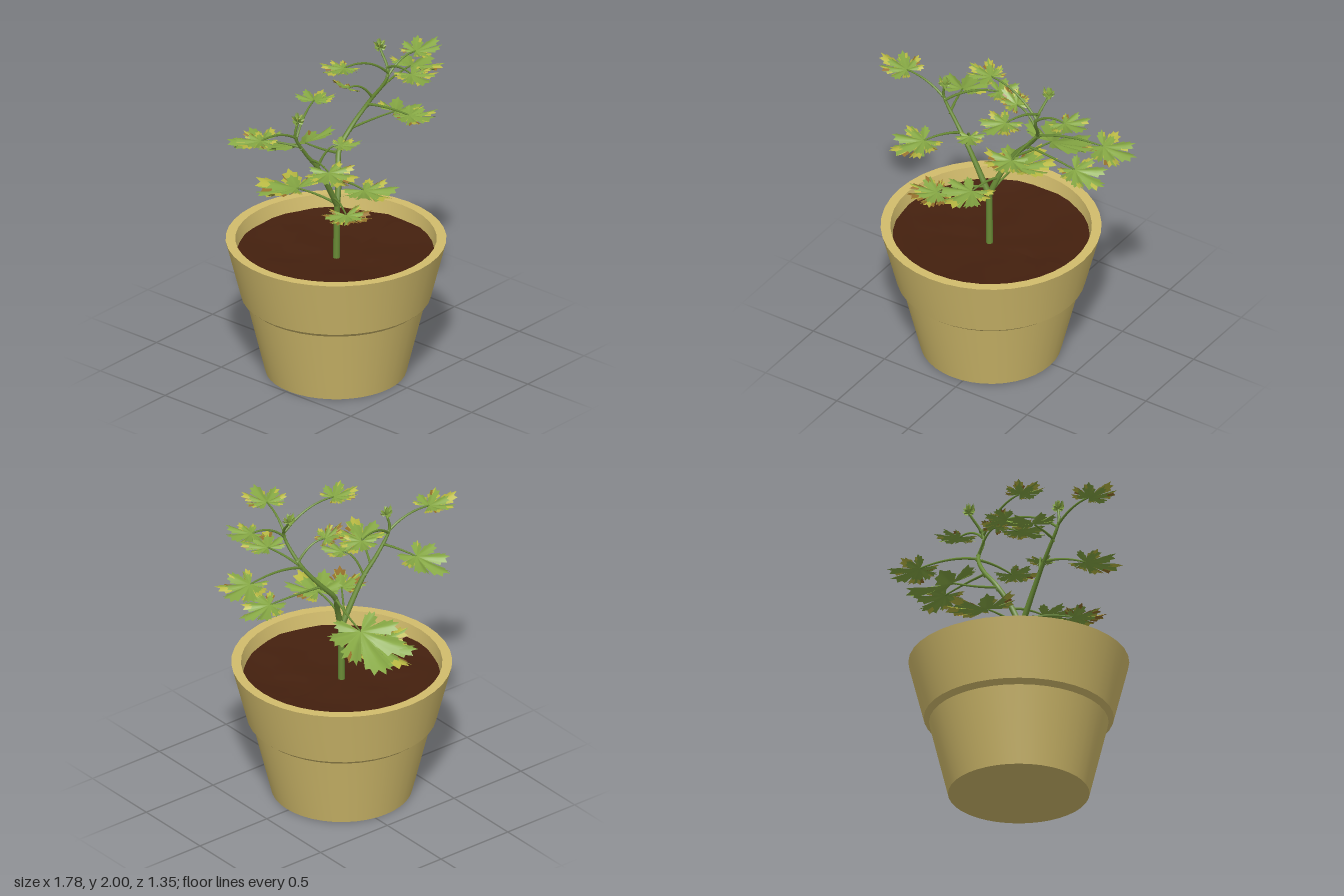
import * as THREE from 'three';
import { toCreasedNormals } from 'three/addons/utils/BufferGeometryUtils.js';

const CX = -0.075, CZ = 0.0175; // pot axis

function material(name, color, side = THREE.FrontSide) {
  const m = new THREE.MeshStandardMaterial({ color, side });
  m.name = name;
  return m;
}

const clay = material('clay', 0xd2bc6c);
const soilMat = material('soil', 0x44200e);
const stemMat = material('stem', 0x6a8c36);
const leafMats = [material('leafGreen', 0x86a844, THREE.DoubleSide),
  material('leafYellow', 0xb8b842, THREE.DoubleSide), material('leafBrown', 0x95702c, THREE.DoubleSide)];

function seeded(seed) {
  let s = seed * 7919 + 17;
  return () => (s = (s * 16807) % 2147483647) / 2147483647;
}

function add(parent, name, object, mat) {
  const child = mat ? new THREE.Mesh(object, mat) : object;
  child.name = name;
  parent.add(child);
  return child;
}

// Tube whose radius shrinks from r0 to r1 along the curve
function taperedTube(curve, r0, r1, segs, sides) {
  const g = new THREE.TubeGeometry(curve, segs, r0, sides);
  const pos = g.attributes.position, v = new THREE.Vector3();
  for (let i = 0; i < pos.count; i++) {
    const t = Math.floor(i / (sides + 1)) / segs;
    const c = curve.getPointAt(t);
    v.fromBufferAttribute(pos, i).sub(c).multiplyScalar(1 + (r1 / r0 - 1) * t).add(c);
    pos.setXYZ(i, v.x, v.y, v.z);
  }
  return g;
}

// One lobe as [angle fraction, radius fraction]: a deep cleft, then teeth, mirrored about the tip
const HALF_LOBE = [[0.86, 0.64], [0.9, 0.76], [0.6, 0.76], [0.52, 0.93], [0.22, 0.85]];
const LOBE = [[-1, 0.42], ...HALF_LOBE.map(([a, r]) => [-a, r]), [0, 1], ...HALF_LOBE.slice().reverse()];

// Palmate toothed leaf, growing along +z from its base, with coloured rim patches
function leafGeometry(L, aged, seed, cup) {
  const rnd = seeded(seed), outline = [], tint = [];
  const brown = aged > 0.65 ? 0.6 : 0.12;
  for (let k = -3; k <= 3; k++) {
    const len = 1 - 0.15 * Math.abs(k), scale = len * (0.92 + 0.14 * rnd());
    const lobeAged = rnd() < aged * 1.2;
    for (const [a, r] of LOBE) {
      outline.push([k * 0.73 + a * 0.365, r * scale]);
      const yellow = rnd() < (lobeAged ? 0.8 : aged * 0.3);
      tint.push(yellow ? (rnd() < brown ? 2 : 1) : 0);
    }
  }
  outline.push([3.5 * 0.73, 0.25]);
  const pos = [0, 0, 0], faces = [[], [], []], n = outline.length;
  for (const s of [0.4, 0.72, 1])
    for (const [a, r] of outline) {
      const p = r * s;
      const y = cup * p * p + 0.07 * p * Math.cos(a * 8.6) + 0.05 * p * Math.sin(a * 3 + seed);
      pos.push(L * p * Math.sin(a), L * y, L * p * Math.cos(a));
    }
  for (let i = 0; i < n - 1; i++) {
    faces[0].push(0, 1 + i, 2 + i);
    for (let ring = 0; ring < 2; ring++) {
      const a = 1 + ring * n + i, b = a + n;
      faces[ring ? tint[i] : 0].push(a, b, b + 1, a, b + 1, a + 1);
    }
  }
  const g = new THREE.BufferGeometry();
  g.setAttribute('position', new THREE.Float32BufferAttribute(pos, 3));
  g.setIndex(faces.flat());
  let start = 0;
  faces.forEach((f, m) => { g.addGroup(start, f.length, m); start += f.length; });
  g.computeVertexNormals();
  return g;
}

// Blade centred on a point, with an arched stalk and stipule at its joint on the branch
function buildLeaf(joint, centre, L, droop, aged, seed) {
  const group = new THREE.Group();
  const yaw = Math.atan2(centre.x - joint.x, centre.z - joint.z);
  const rot = new THREE.Euler(droop, yaw, 0, 'YXZ');
  const base = centre.clone().sub(new THREE.Vector3(0, 0, 0.33 * L).applyEuler(rot));
  const blade = add(group, 'leafBlade', leafGeometry(L, aged, seed, 0.12), leafMats);
  blade.position.copy(base);
  blade.rotation.copy(rot);

  const bend = joint.clone().lerp(base, 0.45).setY(base.y + 0.015);
  const stalk = new THREE.QuadraticBezierCurve3(joint, bend, base);
  add(group, 'leafStalk', taperedTube(stalk, 0.0085, 0.005, 10, 6), stemMat);
  const stipule = add(group, 'stipule', new THREE.ConeGeometry(0.011, 0.05, 5), stemMat);
  stipule.position.copy(joint).lerp(bend, 0.12);
  stipule.rotation.set(0.9, yaw, 0, 'YXZ');
  return group;
}

// Young folded leaves at a branch tip
function buildBud(tip) {
  const bud = new THREE.Group();
  bud.position.copy(tip);
  for (let k = 0; k < 3; k++) {
    const young = add(bud, 'youngLeaf', leafGeometry(0.058, 0.1, k + 40, 0.5), leafMats);
    young.rotation.set(-1.15 + 0.3 * k, 0.6 + k * 2.1, 0, 'YXZ');
  }
  return bud;
}

// Branch through points; leaf rows: place along branch, centre x y z, length, droop, yellowing
function buildBranch(points, leaves, seed) {
  const group = new THREE.Group();
  const curve = new THREE.CatmullRomCurve3(points.map((p) => new THREE.Vector3(...p)));
  add(group, 'branchStem', taperedTube(curve, 0.019, 0.007, 24, 8), stemMat);
  leaves.forEach(([t, x, y, z, L, droop, aged], i) => add(group, `leaf${i + 1}`,
    buildLeaf(curve.getPointAt(t), new THREE.Vector3(x, y, z), L, droop, aged, seed + i)));
  add(group, 'bud', buildBud(curve.getPointAt(1)));
  return group;
}

const leftPoints = [[-0.08, 1.07, 0.03], [-0.03, 1.21, 0], [0.035, 1.35, -0.055], [0.14, 1.47, -0.05],
  [0.24, 1.61, 0], [0.295, 1.8, 0.1], [0.325, 1.93, 0.01]];
const leftLeaves = [
  [0, -0.1, 1.06, -0.37, 0.32, 0.25, 0.6],
  [0.13, -0.08, 1.22, 0.31, 0.25, 0, 0.4],
  [0.29, 0.11, 1.23, -0.46, 0.33, 0.5, 0.05],
  [0.44, 0.56, 1.43, -0.01, 0.22, 0.28, 0.3],
  [0.61, 0.26, 1.61, 0.36, 0.2, 0, 0.2],
  [0.62, 0.74, 1.65, -0.06, 0.23, 0.25, 0.5],
  [0.66, 0.04, 1.77, -0.03, 0.14, -0.45, 0.8],
  [0.83, 0.57, 1.88, 0.13, 0.18, -0.05, 0.4],
  [0.85, -0.1, 1.95, 0.05, 0.165, 0, 0.5],
  [0.88, 0.22, 1.89, 0.39, 0.2, 0.05, 0.3],
];
const rightPoints = [[-0.08, 1.07, 0.03], [-0.24, 1.36, 0.02], [-0.33, 1.48, 0.005], [-0.42, 1.63, 0], [-0.405, 1.715, 0.01]];
const rightLeaves = [
  [0.07, -0.32, 1.15, 0.33, 0.21, 0.03, 0.7],
  [0.45, -0.13, 1.51, 0.15, 0.13, 0, 0.4],
  [0.55, -0.43, 1.45, 0.31, 0.23, 0.12, 0.4],
  [0.74, -0.46, 1.51, -0.3, 0.24, 0.3, 0.08],
  [0.84, -0.06, 1.7, -0.14, 0.17, 0.15, 0.3],
  [0.86, -0.76, 1.69, -0.03, 0.2, 0, 0.6],
];

export function createModel() {
  const model = new THREE.Group();
  model.name = 'pottedPlant';

  // Pot with collar, thick rim and hollow inside
  const profile = [[0, 0], [0.413, 0], [0.524, 0.46], [0.555, 0.487], [0.645, 0.845], [0.588, 0.845], [0.565, 0.7], [0, 0.68]];
  const potGeo = new THREE.LatheGeometry(profile.map((p) => new THREE.Vector2(...p)), 40);
  add(model, 'pot', toCreasedNormals(potGeo, 0.3), clay).position.set(CX, 0, CZ);

  // Soil, slightly dished and lumpy
  const soilGeo = new THREE.RingGeometry(0.001, 0.578, 40, 8).rotateX(-Math.PI / 2);
  const sp = soilGeo.attributes.position;
  for (let i = 0; i < sp.count; i++) {
    const x = sp.getX(i), z = sp.getZ(i), r = Math.hypot(x, z);
    const lump = Math.sin(x * 17 + 2 * Math.sin(z * 9)) * Math.cos(z * 15) * Math.min(1, r * 4);
    sp.setY(i, 0.725 + 0.11 * r * r + 0.008 * lump);
  }
  soilGeo.computeVertexNormals();
  add(model, 'soil', soilGeo, soilMat).position.set(CX, 0, CZ);

  // Trunk forking into two leafy branches
  const trunk = new THREE.LineCurve3(new THREE.Vector3(-0.08, 0.7, 0.025), new THREE.Vector3(-0.08, 1.1, 0.03));
  add(model, 'trunk', taperedTube(trunk, 0.021, 0.018, 4, 8), stemMat);
  add(model, 'leftBranch', buildBranch(leftPoints, leftLeaves, 3));
  add(model, 'rightBranch', buildBranch(rightPoints, rightLeaves, 20));
  return model;
}
